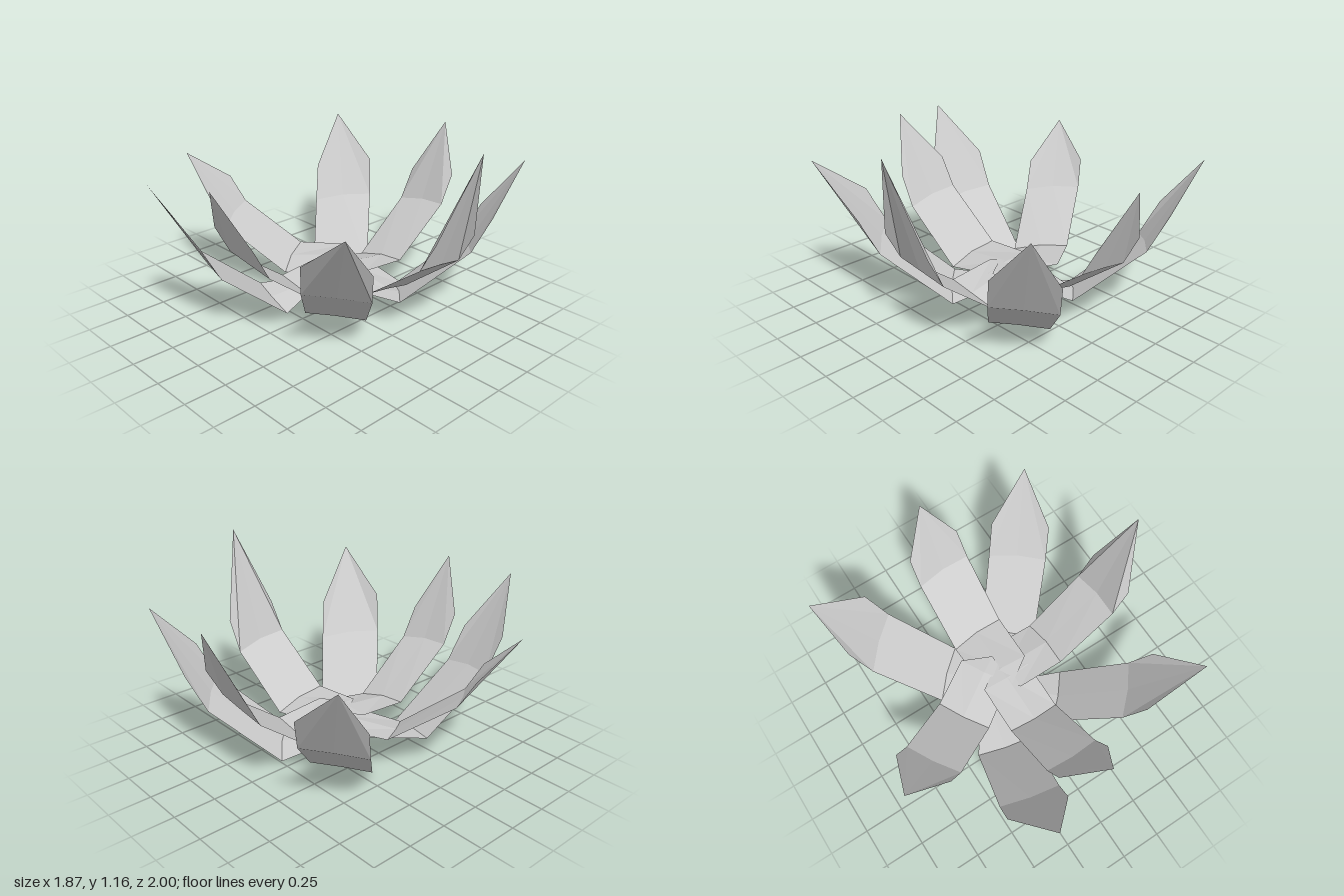
import * as THREE from 'three';

const material = new THREE.MeshStandardMaterial({ color: 0xcccccc, flatShading: true, side: THREE.DoubleSide });

// Profile shared by each ring of petals: rows are [distance out from the bend, rise, half width, roll]
const outerRing = {
  heel: [-0.4, 0.06],
  rows: [[0, 0, 0.178, 0.026], [0.41, 0.335, 0.187, 0.026]],
  shoulder: [0.525, 0.55, 0.183, 0.026],
};
const innerRing = {
  heel: [-0.42, 0.05],
  rows: [[-0.31, 0.045, 0.165, 0.012], [0, 0, 0.17, 0.033], [0.375, 0.285, 0.174, 0.026], ],
  shoulder: [0.472, 0.465, 0.17, 0.022],
};

// One folded petal: pointed heel, foot, upright blade and pointed tip
function petalGeometry(ring, yaw, bend, tip, lift) {
  const angle = THREE.MathUtils.degToRad(yaw);
  const out = new THREE.Vector3(Math.sin(angle), 0, Math.cos(angle));
  const side = new THREE.Vector3(out.z, 0, -out.x);
  const at = (run, rise, across) => new THREE.Vector3(...bend)
    .addScaledVector(out, run).addScaledVector(side, across).add(new THREE.Vector3(0, rise * lift, 0));
  const corner = ([run, rise, half, roll], s) => at(run, rise - s * roll, s * half);

  const points = [at(...ring.heel, 0)];
  for (const row of ring.rows) {
    points.push(corner(row, -1), at(row[0] + 0.012, row[1] + 0.012, 0), corner(row, 1));
  }
  points.push(corner(ring.shoulder, -1), corner(ring.shoulder, 1), new THREE.Vector3(...tip));

  const end = points.length - 1;
  const fold = end - 5; // first point of the topmost row
  const index = [0, 2, 1, 0, 3, 2];
  for (let a = 1; a < fold; a += 3) {
    for (const b of [a, a + 1]) index.push(b, b + 1, b + 4, b, b + 4, b + 3);
  }
  // Each half of the point is one flat facet from the fold to the tip
  index.push(fold, fold + 1, end, fold, end, end - 2);
  index.push(fold + 1, fold + 2, end, fold + 2, end - 1, end);

  const geometry = new THREE.BufferGeometry().setFromPoints(points);
  geometry.setIndex(index);
  geometry.computeVertexNormals();
  return geometry;
}

export function createModel() {
  const model = new THREE.Group();
  model.name = 'lotusFlower';

  // [name, ring, heading in degrees, middle of the bend, tip, steepness]
  const petals = [
    ['outerPetalFront', outerRing, -11.6, [-0.245, 0.055, 0.275], [-0.37, 0.94, 1.0], 1],
    ['outerPetalLeft', outerRing, 47.4, [0.215, 0.075, 0.18], [0.82, 0.91, 0.69], 1],
    ['outerPetalBack', outerRing, 138, [0.195, 0.026, -0.37], [0.68, 0.9, -0.92], 1],
    ['outerPetalRight', outerRing, 224, [-0.29, 0.058, -0.335], [-0.84, 0.9, -0.83], 1],
    ['innerPetalFront', innerRing, 1, [-0.01, 0.195, 0.25], [0.04, 0.985, 0.885], 1],
    ['innerPetalLeft', innerRing, 92, [0.33, 0.187, -0.13], [0.93, 1.165, -0.16], 1],
    ['innerPetalBack', innerRing, 180, [-0.005, 0.195, -0.42], [0, 0.98, -1.0], 1],
    ['innerPetalRight', innerRing, -57.5, [-0.37, 0.205, 0.005], [-0.935, 0.85, 0.385], 0.92],
  ];
  for (const [name, ring, ...shape] of petals) {
    const petal = new THREE.Mesh(petalGeometry(ring, ...shape), material);
    petal.name = name;
    model.add(petal);
  }
  return model;
}
